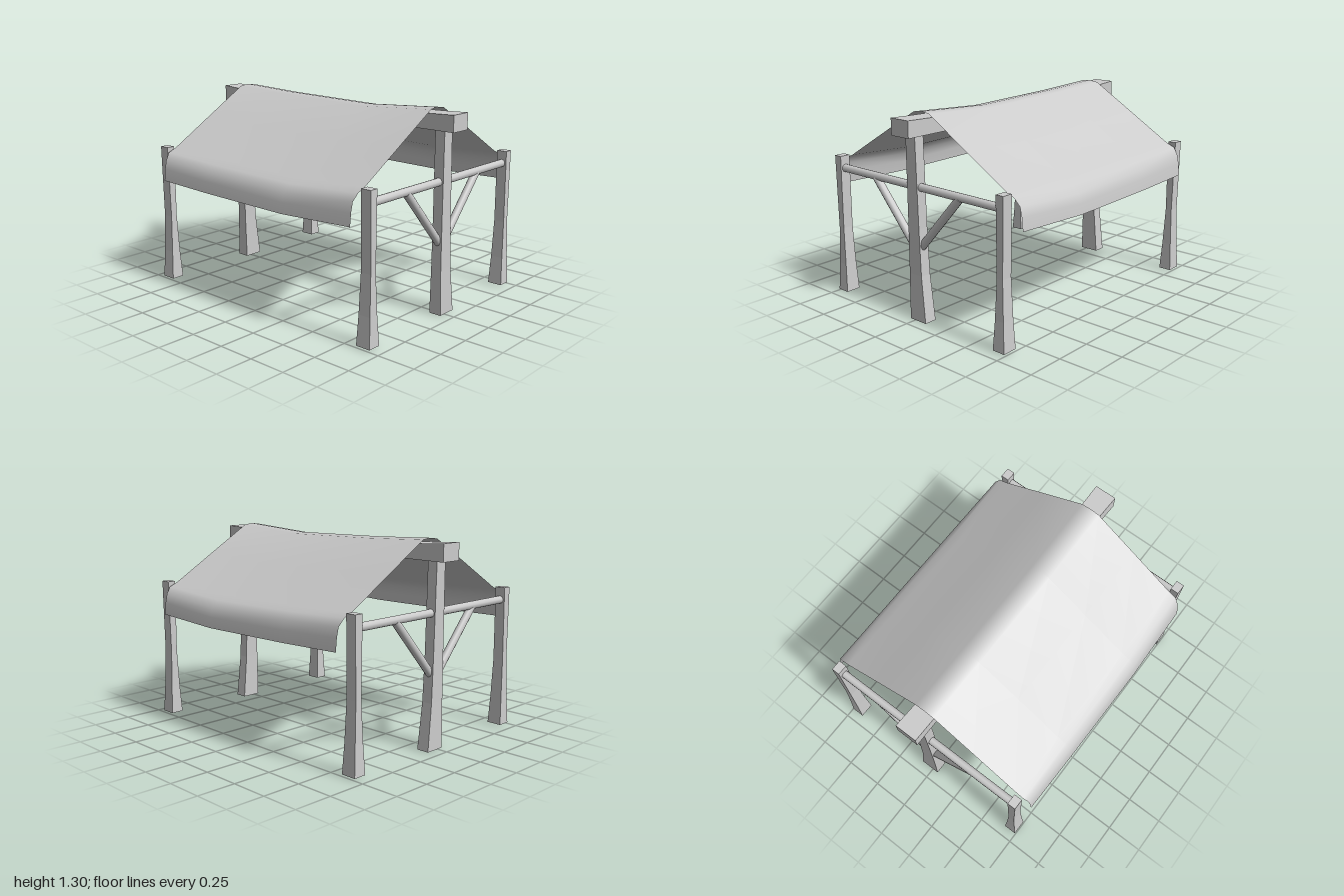
import * as THREE from 'three';

const mat = new THREE.MeshStandardMaterial({ color: 0xcccccc, flatShading: true, side: THREE.DoubleSide });
const smooth = new THREE.MeshStandardMaterial({ color: 0xcccccc, side: THREE.DoubleSide });

// Loft through rectangular sections [y, x0, x1, z0, z1]
function loft(sections, openBottom = false) {
  const rings = sections.map(([y, x0, x1, z0, z1]) => [[x0, y, z1], [x1, y, z1], [x1, y, z0], [x0, y, z0]]);
  const pos = [];
  const quad = (a, b, c, d) => pos.push(...a, ...b, ...c, ...a, ...c, ...d);
  for (let i = 0; i < rings.length - 1; i++) {
    for (let j = 0; j < 4; j++) {
      const k = (j + 1) % 4;
      quad(rings[i][j], rings[i][k], rings[i + 1][k], rings[i + 1][j]);
    }
  }
  quad(...rings[rings.length - 1]);
  if (!openBottom) quad(...[...rings[0]].reverse());
  const g = new THREE.BufferGeometry();
  g.setAttribute('position', new THREE.Float32BufferAttribute(pos, 3));
  g.computeVertexNormals();
  return g;
}

// Round pole between two points
function pole(a, b, r) {
  const dir = b.clone().sub(a);
  const g = new THREE.CylinderGeometry(r, r, dir.length(), 10);
  g.applyQuaternion(new THREE.Quaternion().setFromUnitVectors(new THREE.Vector3(0, 1, 0), dir.normalize()));
  g.translate((a.x + b.x) / 2, (a.y + b.y) / 2, (a.z + b.z) / 2);
  return g;
}

export function createModel() {
  const group = new THREE.Group();
  const add = (name, geometry, material = mat) => {
    const m = new THREE.Mesh(geometry, material);
    m.name = name;
    group.add(m);
    return m;
  };

  // Flared posts
  const corner = loft([
    [0.01, -0.05, 0.05, -0.043, 0.043],
    [0.2, -0.042, 0.042, -0.032, 0.032],
    [0.45, -0.036, 0.036, -0.022, 0.022],
    [0.935, -0.035, 0.035, -0.028, 0.028],
  ], true);
  const centre = loft([
    [0, -0.042, 0.042, -0.092, 0.042],
    [0.3, -0.036, 0.036, -0.06, 0.044],
    [0.6, -0.034, 0.034, -0.048, 0.044],
    [1.18, -0.034, 0.034, -0.035, 0.044],
  ]);

  // Two end frames
  for (const [side, x] of [['right', -0.885], ['left', 0.885]]) {
    for (const [end, s] of [['Front', 1], ['Back', -1]]) {
      add(`${side}${end}Post`, corner).position.set(x, 0, s * 0.702);
      add(`${side}${end}Brace`, pole(
        new THREE.Vector3(x, 0.45, s * 0.01), new THREE.Vector3(x, 0.845, s * 0.365), 0.026), smooth);
    }
    add(`${side}CentrePost`, centre).position.x = x;
    add(`${side}Crossbar`, pole(
      new THREE.Vector3(x, 0.853, -0.69), new THREE.Vector3(x, 0.853, 0.69), 0.026), smooth);
  }

  // Ridge beam, slimmer towards the middle, laid along x
  const beam = loft([
    [-1, -1.28, -1.17, -0.08, 0.068],
    [-0.83, -1.268, -1.17, -0.076, 0.068],
    [0, -1.245, -1.17, -0.065, 0.065],
    [0.83, -1.268, -1.17, -0.07, 0.07],
    [1, -1.275, -1.17, -0.072, 0.075],
  ]);
  beam.rotateZ(-Math.PI / 2);
  add('ridgeBeam', beam);

  // Sagging cloth canopy: half profile [z, y] from hem to ridge, mirrored
  const half = [[0.785, 0.72], [0.777, 0.80], [0.763, 0.86], [0.73, 0.905], [0.67, 0.93], [0.36, 1.115], [0.065, 1.29]];
  const profile = [...half.map(([z, y]) => [-z, y]), [0, 1.298], ...[...half].reverse()];
  const columns = [[-0.835, 0], [-0.4, 0.018], [0.3, 0.032], [0.83, 0]]; // [x, sag]
  const cloth = new THREE.PlaneGeometry(1, 1, columns.length - 1, profile.length - 1);
  const p = cloth.attributes.position;
  profile.forEach(([z, y], r) => columns.forEach(([x, sag], c) => {
    const drop = y < 0.75 ? 0.6 * sag : sag;
    const bulge = y < 0.9 ? Math.sign(z) * 0.4 * sag : 0;
    const taper = y < 0.9 ? 0.988 : 1;
    p.setXYZ(r * columns.length + c, x * taper, y - drop, z + bulge);
  }));
  cloth.computeVertexNormals();
  add('canopy', cloth, smooth);

  return group;
}
